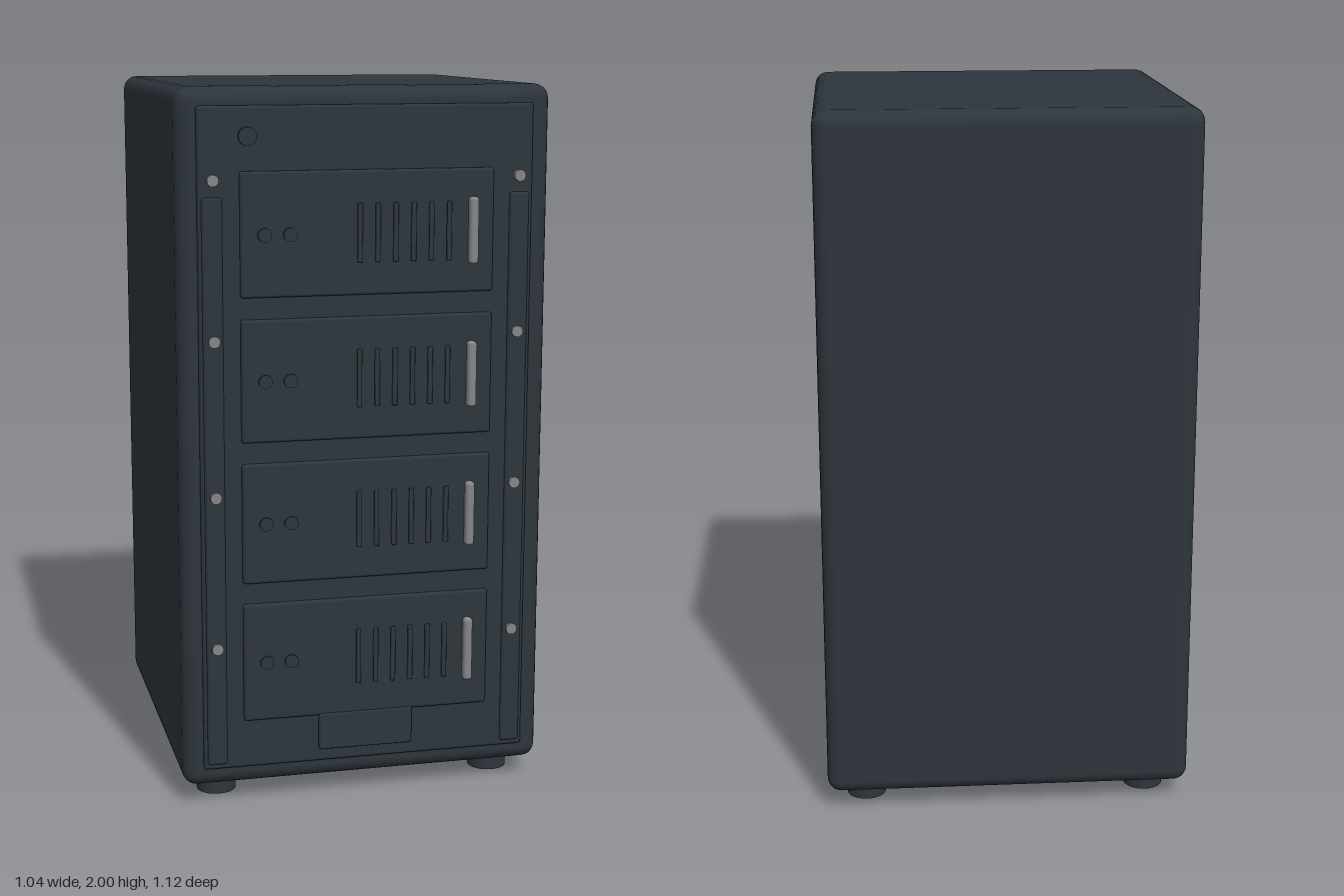
import * as THREE from 'three';
import { RoundedBoxGeometry } from 'three/addons/geometries/RoundedBoxGeometry.js';

export function createModel() {
  const model = new THREE.Group();
  model.name = 'driveTower';

  const shell = new THREE.MeshStandardMaterial({ color: 0x2d353c });
  shell.name = 'charcoal';
  const metal = new THREE.MeshStandardMaterial({ color: 0x85858a });
  metal.name = 'grey metal';

  // Rounded block given by its extents
  function block(name, x0, x1, y0, y1, z0, z1, radius, material = shell, parent = model) {
    const geo = new RoundedBoxGeometry(x1 - x0, y1 - y0, z1 - z0, 3, radius);
    const mesh = new THREE.Mesh(geo, material);
    mesh.name = name;
    mesh.position.set((x0 + x1) / 2, (y0 + y1) / 2, (z0 + z1) / 2);
    parent.add(mesh);
  }

  // Round stud facing forward
  function stud(name, x, y, z0, z1, radius, material = shell, parent = model) {
    const geo = new THREE.CylinderGeometry(radius, radius, z1 - z0, 20);
    geo.rotateX(Math.PI / 2);
    const mesh = new THREE.Mesh(geo, material);
    mesh.name = name;
    mesh.position.set(x, y, (z0 + z1) / 2);
    parent.add(mesh);
  }

  // Case and front panel
  block('case', -0.52, 0.52, 0.055, 2, -0.56, 0.515, 0.04);
  block('frontPanel', -0.465, 0.465, 0.11, 1.95, 0.49, 0.527, 0.008);
  stud('powerButton', -0.33, 1.87, 0.515, 0.538, 0.025);

  // Side rails with screws
  for (const side of [-1, 1]) {
    block('rail', side * 0.427 - 0.028, side * 0.427 + 0.028, 0.125, 1.71, 0.505, 0.534, 0.008);
    for (let i = 0; i < 4; i++) {
      stud('screw', side * 0.425, 0.465 + i * 0.43, 0.52, 0.543, 0.016, metal);
    }
  }

  // Four drive trays, each with handle, lights and vent ribs
  for (let i = 0; i < 4; i++) {
    const tray = new THREE.Group();
    tray.name = 'driveTray';
    tray.position.y = 0.418 + i * 0.397;
    model.add(tray);
    block('trayFace', -0.352, 0.352, -0.169, 0.169, 0.505, 0.539, 0.008, shell, tray);
    block('handle', 0.279, 0.305, -0.092, 0.092, 0.53, 0.56, 0.01, metal, tray);
    for (const x of [-0.287, -0.217]) stud('indicator', x, 0, 0.53, 0.547, 0.019, shell, tray);
    for (let k = 0; k < 6; k++) {
      const x = -0.025 + k * 0.05;
      block('ventRib', x - 0.007, x + 0.007, -0.08, 0.08, 0.53, 0.545, 0.003, shell, tray);
    }
  }

  // Plate below the lowest tray
  block('lowerPlate', -0.138, 0.132, 0.148, 0.255, 0.505, 0.543, 0.006);

  // Feet
  for (const x of [-0.408, 0.408]) {
    for (const z of [-0.422, 0.382]) {
      const foot = new THREE.Mesh(new THREE.CylinderGeometry(0.056, 0.056, 0.08, 32), shell);
      foot.name = 'foot';
      foot.position.set(x, 0.04, z);
      model.add(foot);
    }
  }
  return model;
}
